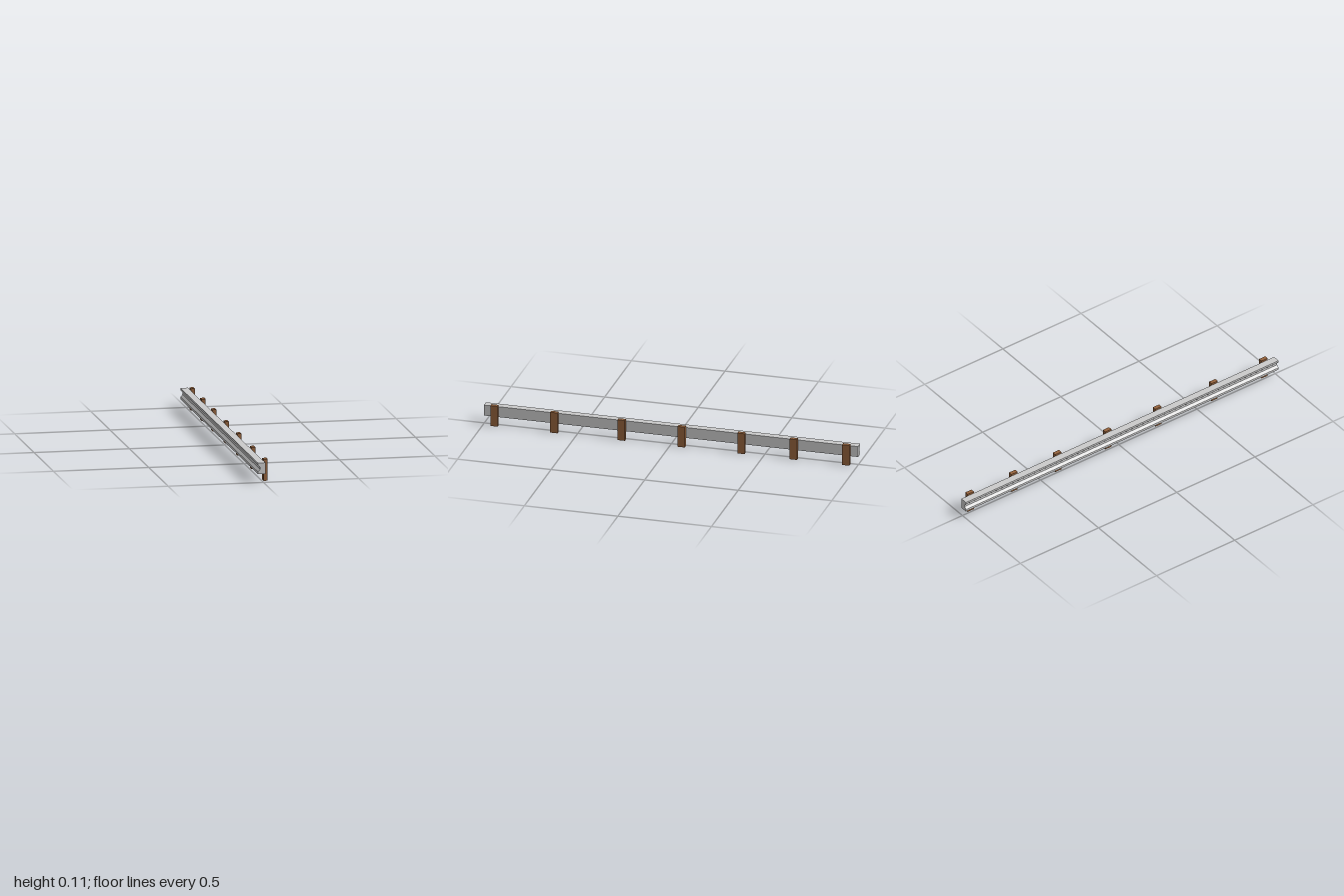
import * as THREE from 'three';

export function createModel() {
  const group = new THREE.Group();
  group.name = 'guardrail';
  const steel = new THREE.MeshStandardMaterial({ color: 0xcccccc, flatShading: true });
  const wood = new THREE.MeshStandardMaterial({ color: 0x94623c, flatShading: true });

  // Rail: grooved profile swept along z
  const profile = new THREE.Shape([
    [0.009, 0.045], [0.009, 0.103], [-0.03, 0.103], [-0.03, 0.092],
    [-0.018, 0.08], [-0.018, 0.069], [-0.03, 0.057], [-0.03, 0.045],
  ].map(([x, y]) => new THREE.Vector2(x, y)));
  const railGeometry = new THREE.ExtrudeGeometry(profile, { depth: 2, bevelEnabled: false });
  railGeometry.translate(0, 0, -1);
  const rail = new THREE.Mesh(railGeometry, steel);
  rail.name = 'rail';
  group.add(rail);

  // Posts: unevenly spaced behind the rail
  const postGeometry = new THREE.BoxGeometry(0.021, 0.113, 0.039);
  [0.94, 0.62, 0.26, -0.06, -0.38, -0.66, -0.94].forEach((z, i) => {
    const post = new THREE.Mesh(postGeometry, wood);
    post.name = `post${i + 1}`;
    post.position.set(0.0195, 0.0565, z);
    group.add(post);
  });

  return group;
}
